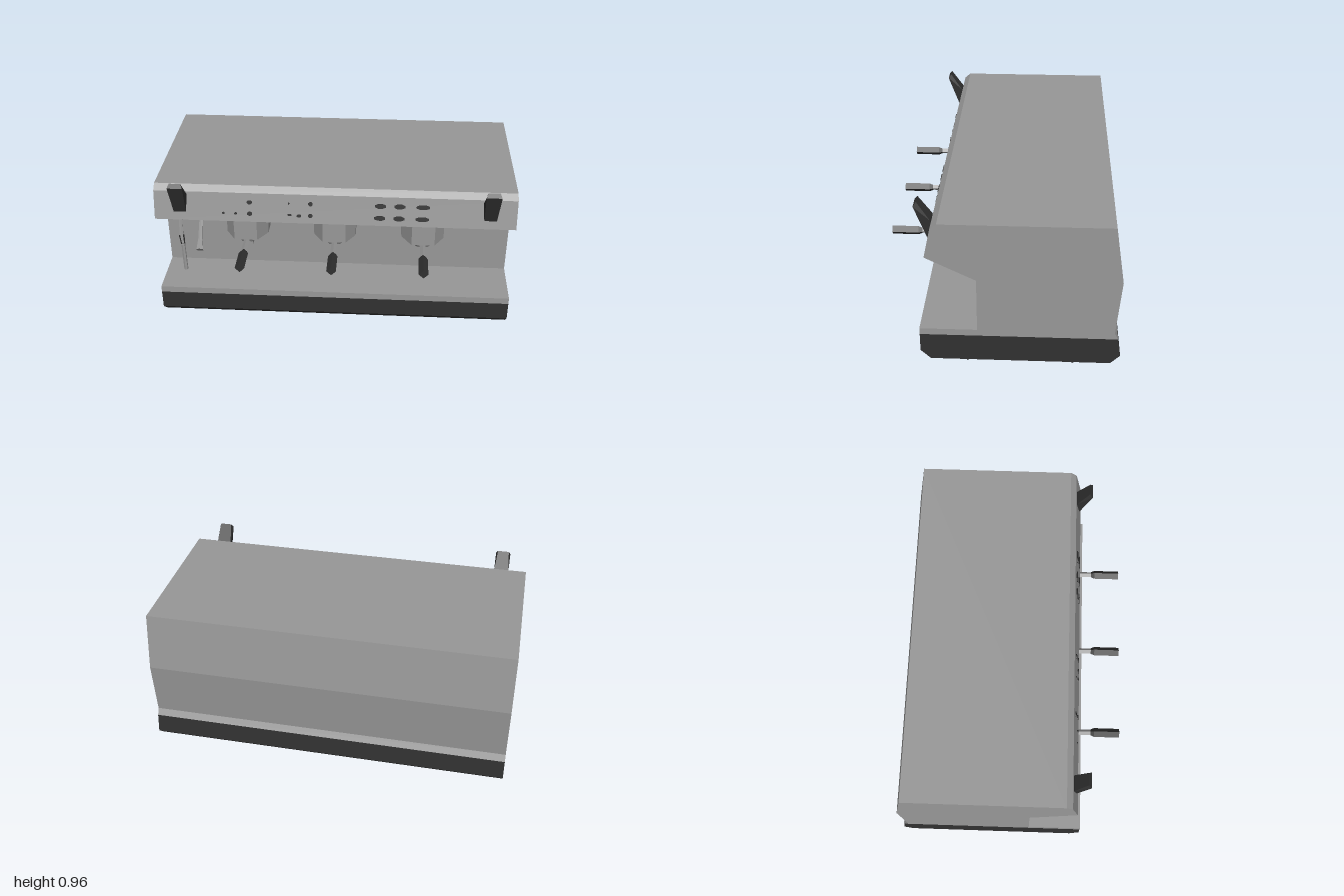
import * as THREE from 'three';

const steel = new THREE.MeshStandardMaterial({ color: 0x979797 });
steel.name = 'steel grey';
const black = new THREE.MeshStandardMaterial({ color: 0x303030 });
black.name = 'soft black';

export function createModel() {
  const model = new THREE.Group();
  model.name = 'espressoMachine';

  // Adds a faceted mesh
  function add(name, geometry, material, parent = model) {
    const flat = geometry.index ? geometry.toNonIndexed() : geometry;
    flat.computeVertexNormals();
    const mesh = new THREE.Mesh(flat, material);
    mesh.name = name;
    parent.add(mesh);
    return mesh;
  }

  // Side profile of [z, y] points, extruded across x
  function sideProfile(points, width) {
    const shape = new THREE.Shape(points.map(([z, y]) => new THREE.Vector2(z, y)));
    return new THREE.ExtrudeGeometry(shape, { depth: width, bevelEnabled: false })
      .translate(0, 0, -width / 2).rotateY(-Math.PI / 2);
  }

  // Tapered rod between two points
  function rod(from, to, r0, r1, sides) {
    const a = new THREE.Vector3(...from), b = new THREE.Vector3(...to);
    const dir = b.clone().sub(a);
    const turn = new THREE.Quaternion().setFromUnitVectors(new THREE.Vector3(0, 1, 0), dir.clone().normalize());
    return new THREE.CylinderGeometry(r1, r0, dir.length(), sides)
      .applyQuaternion(turn).translate(...a.add(b).multiplyScalar(0.5).toArray());
  }

  // Housing and base
  add('housing', sideProfile([
    [0.425, 0.24], [0.425, 0.277], [0.125, 0.277], [0.125, 0.583], [0.383, 0.713],
    [0.348, 0.876], [0.314, 0.905], [-0.563, 0.905], [-0.611, 0.59], [-0.585, 0.277], [-0.604, 0.24],
  ], 2), steel);
  add('base', sideProfile([
    [0.425, 0.24], [0.425, 0.135], [0.372, 0.084], [-0.57, 0.084], [-0.62, 0.135], [-0.604, 0.24],
  ], 2), black);

  // Feet
  for (const x of [-0.842, 0.842]) {
    for (const z of [0.188, -0.377]) {
      add('foot', new THREE.CylinderGeometry(0.063, 0.063, 0.09, 4).translate(x, 0.045, z), black);
    }
  }

  // Brew groups with portafilters
  for (const x of [-0.497, 0, 0.497]) {
    const group = new THREE.Group();
    group.name = 'brewGroup';
    group.position.x = x;
    model.add(group);

    const plan = [[-0.064, 0.37], [-0.118, 0.285], [-0.118, 0.14], [0.118, 0.14], [0.118, 0.285], [0.064, 0.37]];
    const shape = new THREE.Shape(plan.map(([px, pz]) => new THREE.Vector2(px, -pz)));
    add('groupHead', new THREE.ExtrudeGeometry(shape, { depth: 0.125, bevelEnabled: false })
      .rotateX(-Math.PI / 2).translate(0, 0.585, 0), steel, group);
    add('filterBasket', new THREE.CylinderGeometry(0.096, 0.07, 0.046, 8)
      .rotateY(Math.PI / 8).translate(0, 0.564, 0.255), steel, group);
    add('spout', new THREE.BoxGeometry(0.05, 0.045, 0.05).translate(0, 0.523, 0.26), steel, group);
    add('neck', rod([0, 0.566, 0.32], [0, 0.566, 0.47], 0.016, 0.016, 4), steel, group);
    add('handleCollar', rod([0, 0.566, 0.46], [0, 0.566, 0.48], 0.017, 0.026, 4), black, group);
    add('handle', rod([0, 0.566, 0.48], [0, 0.566, 0.624], 0.026, 0.026, 4), black, group);
  }

  // Steam levers, narrowed at both ends
  for (const x of [-0.857, 0.857]) {
    const geometry = sideProfile([
      [0.424, 0.965], [0.44, 0.943], [0.374, 0.76], [0.35, 0.85], [0.356, 0.865],
    ], 0.084);
    const p = geometry.attributes.position;
    for (let i = 0; i < p.count; i++) {
      const y = p.getY(i);
      p.setX(i, p.getX(i) * (y > 0.95 ? 0.75 : y < 0.8 ? 0.82 : 1));
    }
    add('steamLever', geometry.translate(x, 0, 0), black);
  }

  // Steam wand and hot water wand
  const wand = [[-0.89, 0.65, 0.25], [-0.888, 0.54, 0.275], [-0.875, 0.5, 0.308], [-0.872, 0.328, 0.31]];
  for (let i = 0; i < 3; i++) {
    add('steamWand', rod(wand[i], wand[i + 1], i === 1 ? 0.016 : 0.011, 0.012, 6), i === 1 ? black : steel);
  }
  add('waterWand', rod([-0.775, 0.65, 0.21], [-0.772, 0.53, 0.312], 0.011, 0.014, 6), steel);
  add('waterWandTip', rod([-0.772, 0.53, 0.312], [-0.77, 0.495, 0.355], 0.015, 0.021, 6), steel);

  // Thin eight-sided plate on a sloping face
  function plate(name, x, y, z, width, height, tilt) {
    const mesh = add(name, new THREE.CylinderGeometry(0.54, 0.54, 0.008, 8)
      .rotateY(Math.PI / 8).rotateX(Math.PI / 2).scale(width, height, 1), black);
    mesh.position.set(x, y, z);
    mesh.rotation.x = tilt;
  }

  // Control panel: [x, y, width, height]
  const buttons = [
    [-0.467, 0.825, 0.028, 0.022], [-0.467, 0.76, 0.028, 0.022], [-0.545, 0.76, 0.014, 0.012],
    [-0.613, 0.76, 0.014, 0.012], [-0.25, 0.825, 0.008, 0.012], [-0.13, 0.825, 0.024, 0.022],
    [-0.13, 0.758, 0.024, 0.022], [-0.193, 0.756, 0.024, 0.018], [-0.245, 0.76, 0.024, 0.012],
  ];
  for (const x of [0.255, 0.36, 0.488]) {
    for (const y of [0.825, 0.757]) buttons.push([x + (y < 0.8 ? -0.003 : 0), y, x > 0.4 ? 0.072 : 0.06, 0.026]);
  }
  for (const [x, y, w, h] of buttons) {
    plate('button', x, y, 0.383 - (y - 0.713) * 0.215 + 0.001, w, h, -0.212);
  }

  // Fittings under the head
  for (const x of [-0.89, 0.757, 0.872]) plate('underFitting', x, 0.645, 0.249, 0.045, 0.045, 1.104);

  return model;
}
